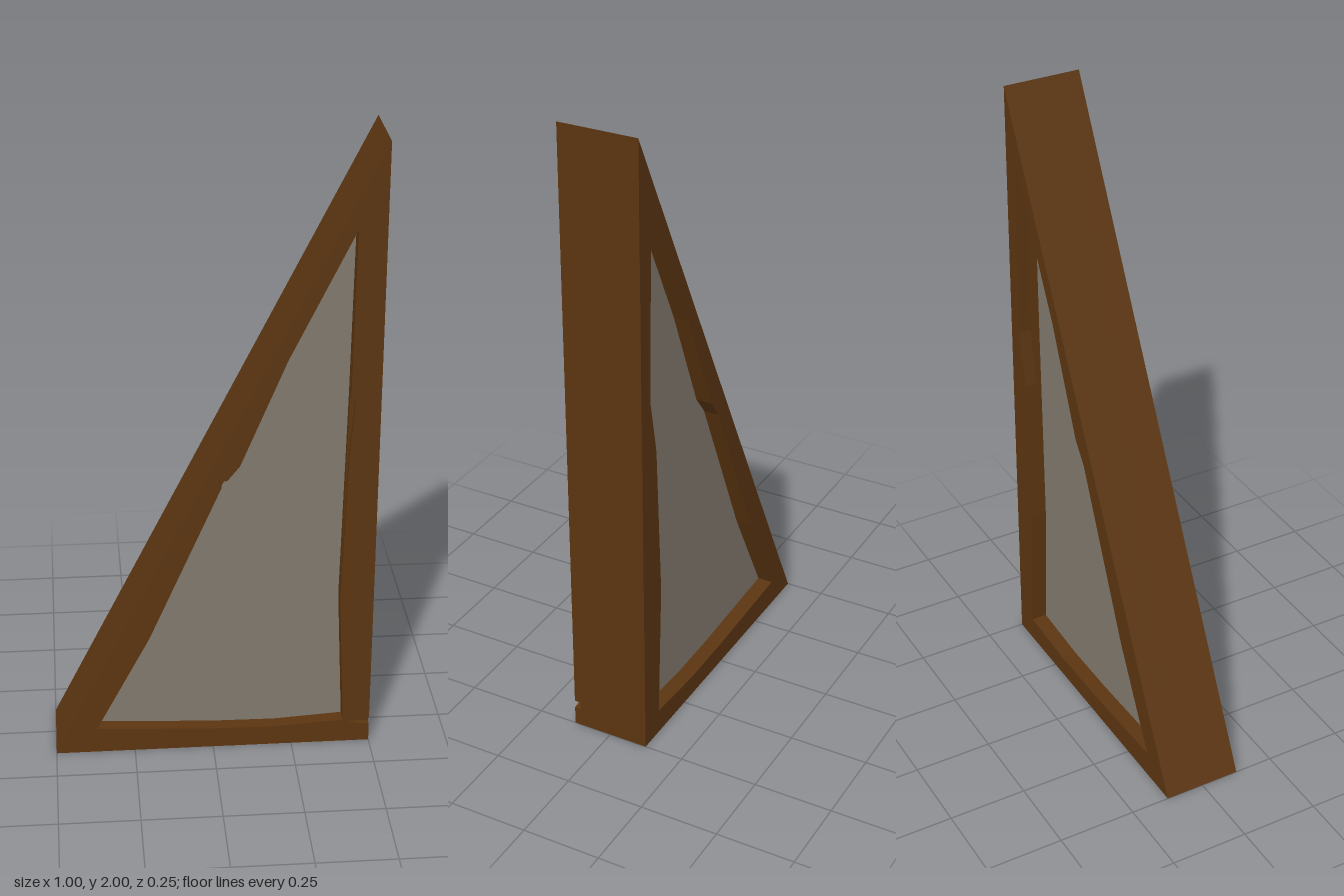
import * as THREE from 'three';

const wood = new THREE.MeshStandardMaterial({ color: 0x5b3511, flatShading: true });
wood.name = 'darkWood';
const pane = new THREE.MeshStandardMaterial({ color: 0x82796d, flatShading: true });
pane.name = 'greyPane';

const points = (list) => list.map(([x, y]) => new THREE.Vector2(x, y));

// Flat slab between two z depths, with an optional opening
function slab(name, outline, hole, z0, z1, material) {
  const shape = new THREE.Shape(points(outline));
  if (hole) shape.holes.push(new THREE.Path(points(hole)));
  const geometry = new THREE.ExtrudeGeometry(shape, { depth: z1 - z0, bevelEnabled: false });
  geometry.translate(0, 0, z0);
  const mesh = new THREE.Mesh(geometry, material);
  mesh.name = name;
  return mesh;
}

export function createModel() {
  const group = new THREE.Group();
  group.name = 'triangularWindow';

  const outline = [[-0.5, 0], [0.5, 0], [0.5, 2]];
  // Front outline with a small split near the lower corner
  const splitOutline = [[-0.5, 0], [0.5, 0], [0.5, 0.06], [0.43, 0.07], [0.5, 0.085], [0.5, 2]];

  // Hand-hewn, slightly wavy opening: bottom and slanted edges
  const bottom = [[0.415, 0.08], [0.2, 0.066], [0, 0.068], [-0.37, 0.085]];
  const slant = [[-0.2, 0.41], [0.03, 0.935], [0.08, 1.0], [0.22, 1.34], [0.415, 1.74]];
  const hole = [...bottom, ...slant, [0.408, 1.2], [0.395, 0.52]];
  const chippedSlant = [[-0.2, 0.41], [0.025, 0.93], [0.015, 0.96], [0.04, 0.95], [0.08, 1.0], [0.22, 1.34], [0.415, 1.74]];
  const frontHole = [...bottom, ...chippedSlant, [0.409, 1.21], [0.424, 1.2], [0.41, 1.03], [0.395, 0.52]];
  const backHole = [...bottom, ...slant.slice(0, -1), [0.435, 1.76], [0.45, 1.19], [0.417, 1.01], [0.395, 0.52]];

  // Frame in three layers
  group.add(slab('frameCore', outline, hole, -0.085, 0.105, wood));
  group.add(slab('frameFront', splitOutline, frontHole, 0.105, 0.125, wood));
  group.add(slab('frameBack', outline, backHole, -0.125, -0.085, wood));

  // Recessed pane filling the opening
  const paneOutline = [[-0.41, 0.05], [0.45, 0.05], [0.45, 1.83]];
  group.add(slab('pane', paneOutline, null, -0.075, 0.08, pane));

  return group;
}
